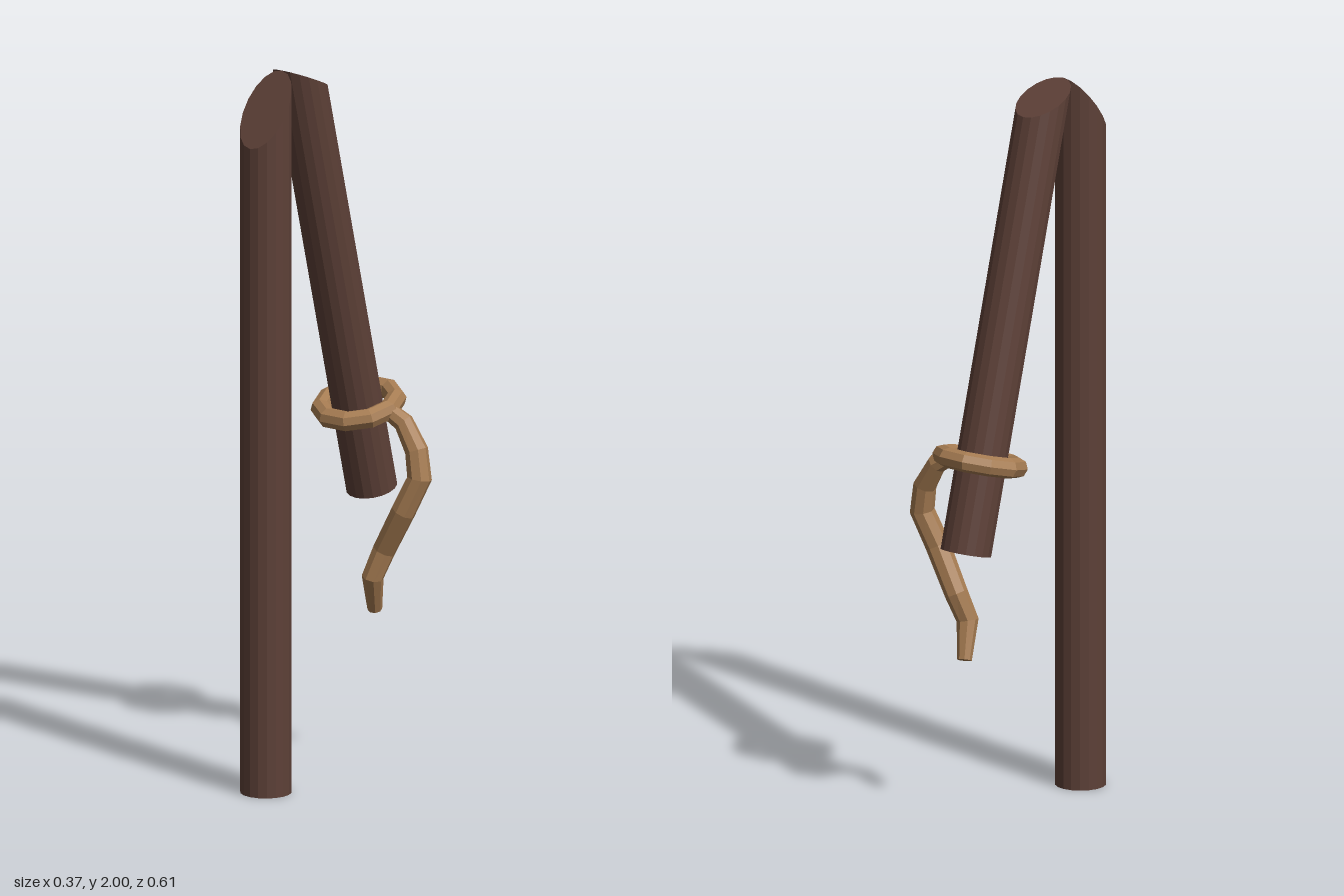
import * as THREE from 'three';

const wood = new THREE.MeshStandardMaterial({ color: 0x5d4037, flatShading: true });
const hemp = new THREE.MeshStandardMaterial({ color: 0xa67c52, flatShading: true });
const TILT = 0.2557;
const R = 0.07;

// Round pole standing on its origin, with the top cut on a slant along z
function pole(name, backHeight, frontHeight) {
  const geo = new THREE.CylinderGeometry(R, R, 1, 18).translate(0, 0.5, 0);
  const p = geo.attributes.position;
  for (let i = 0; i < p.count; i++) {
    if (p.getY(i) > 0.5) {
      const t = (p.getZ(i) + R) / (2 * R);
      p.setY(i, backHeight + (frontHeight - backHeight) * t);
    }
  }
  geo.computeVertexNormals();
  const mesh = new THREE.Mesh(geo, wood);
  mesh.name = name;
  return mesh;
}

// Path through straight pieces, one tube ring per point
class Polyline extends THREE.Curve {
  constructor(points) {
    super();
    this.points = points;
  }
  getPoint(t, target = new THREE.Vector3()) {
    const s = t * (this.points.length - 1);
    const i = Math.min(Math.floor(s + 1e-9), this.points.length - 2);
    return target.lerpVectors(this.points[i], this.points[i + 1], s - i);
  }
  getPointAt(t, target) {
    return this.getPoint(t, target);
  }
  getTangentAt(t, target = new THREE.Vector3()) {
    const n = this.points.length - 1;
    const i = Math.round(t * n);
    const dir = (a, b) => this.points[b].clone().sub(this.points[a]).normalize();
    if (i > 0) target.copy(dir(i - 1, i)); else target.set(0, 0, 0);
    if (i < n) target.add(dir(i, i + 1));
    return target.normalize();
  }
}

// Loose rope end: x, y, z, radius
function ropeTail() {
  const rows = [
    [0.035, 1.0, -0.175, 0.024], [0.09, 0.965, -0.187, 0.028],
    [0.135, 0.895, -0.185, 0.032], [0.149, 0.82, -0.18, 0.034],
    [0.108, 0.725, -0.162, 0.034], [0.04, 0.605, -0.165, 0.032],
    [0.015, 0.53, -0.147, 0.03], [-0.006, 0.43, -0.184, 0.02],
    [-0.0061, 0.4295, -0.1842, 0.0005],
  ];
  const path = new Polyline(rows.map(r => new THREE.Vector3(r[0], r[1], r[2])));
  const sides = 8;
  const geo = new THREE.TubeGeometry(path, rows.length - 1, 1, sides, false);
  const p = geo.attributes.position;
  const v = new THREE.Vector3();
  for (let i = 0; i < p.count; i++) {
    const k = Math.floor(i / (sides + 1));
    v.fromBufferAttribute(p, i).sub(path.points[k]).multiplyScalar(rows[k][3]).add(path.points[k]);
    p.setXYZ(i, v.x, v.y, v.z);
  }
  geo.computeVertexNormals();
  const mesh = new THREE.Mesh(geo, hemp);
  mesh.name = 'ropeTail';
  return mesh;
}

export function createModel() {
  const model = new THREE.Group();
  model.name = 'brokenPost';

  // Upright post
  const post = pole('uprightPost', 2.0, 1.81);
  post.position.set(-0.055, 0, 0.235);

  // Snapped-off length leaning back
  const beam = pole('hangingBeam', 1.194, 1.3075);
  beam.position.set(-0.055, 0.7525, -0.234);
  beam.rotation.x = TILT;

  // Rope loop around the hanging beam
  const loop = new THREE.Mesh(new THREE.TorusGeometry(0.103, 0.028, 8, 10).rotateX(Math.PI / 2), hemp);
  loop.name = 'ropeLoop';
  loop.position.set(-0.055, 0.997, -0.176);
  loop.rotation.x = TILT;

  model.add(post, beam, loop, ropeTail());
  return model;
}
